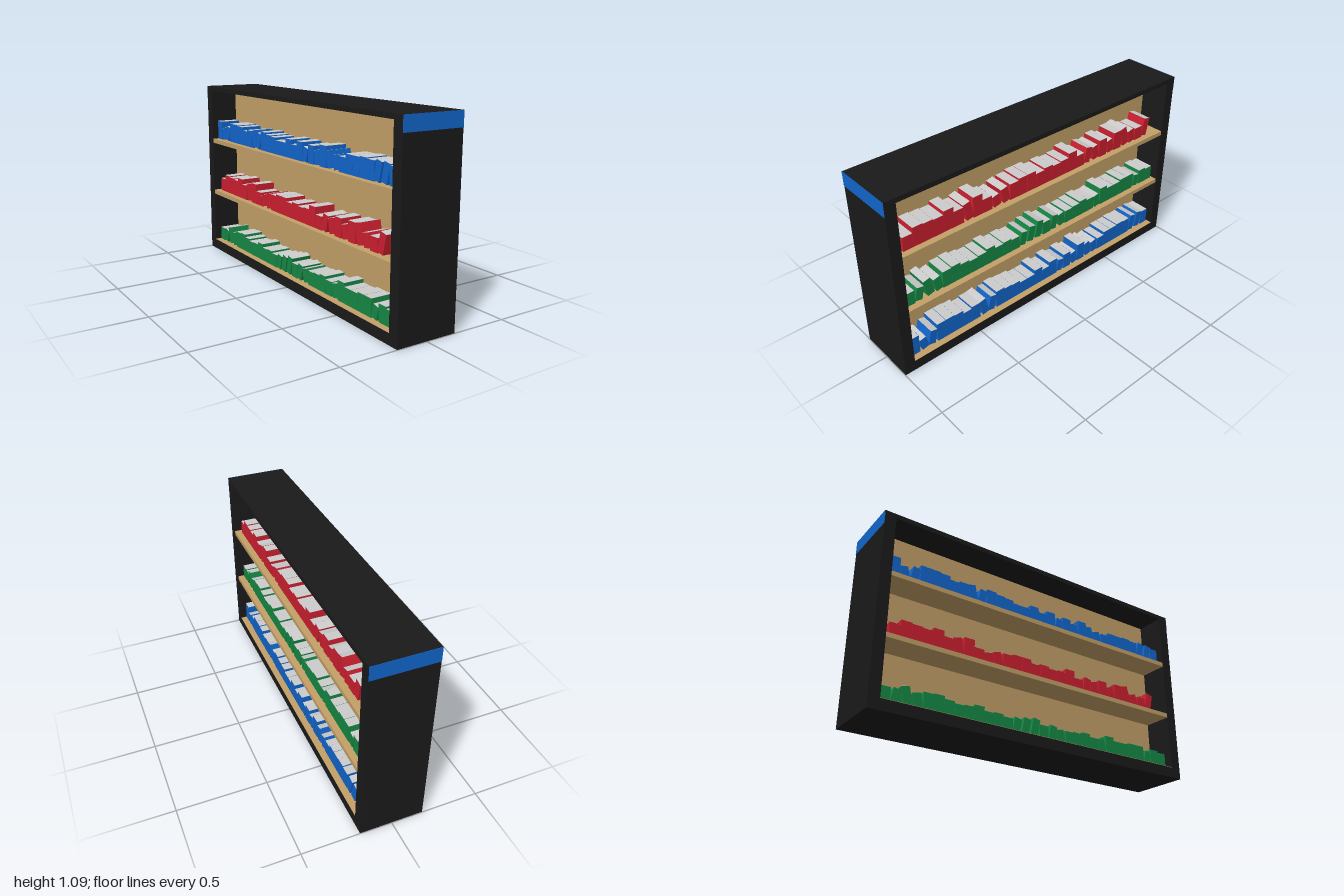
import * as THREE from 'three';

const mat = (color) => new THREE.MeshStandardMaterial({ color });
const black = mat(0x1a1a1a), wood = mat(0xc4a068), pages = mat(0xcccccc);
const red = mat(0xcc1f2f), green = mat(0x158844), blue = mat(0x1166cc);

const W = 0.356, H = 1.085, END = 0.065, FLOOR = 0.063;
const INNER = 2 - 2 * END;

// Book heights in thousandths along -z; '<' leans toward +z, '>' toward -z
const rows = {
  red: {
    cover: red, from: 0.905, to: -0.85,
    books: '80 110 105 100 120 90 <110 120 80 <75 <95 95 105 105 85 95 85 90 115 75 '
      + '>100 <90 105 <85 110 <120 <85 75 >115',
  },
  green: {
    cover: green, from: 0.928, to: -0.922,
    books: '80 >85 <110 <90 100 105 90 80 85 100 80 85 75 >90 >100 >110 80 >95 <85 '
      + '80 85 95 80 <85 110 90 90 100 100 >80 95 85',
  },
  blue: {
    cover: blue, from: 0.932, to: -0.925,
    books: '115 <80 >95 115 115 110 90 100 <110 >100 110 100 95 80 80 105 80 105 '
      + '>85 100 <85 115 <100 <85 80 100 100 105 100 >110 >110 95',
  },
};

function box(parent, name, material, size, pos) {
  const mesh = new THREE.Mesh(new THREE.BoxGeometry(...size), material);
  mesh.name = name;
  mesh.position.set(...pos);
  parent.add(mesh);
  return mesh;
}

function bookRow(name, y) {
  const { cover, from, to, books } = rows[name];
  const row = new THREE.Group();
  row.name = name + 'Books';
  const list = books.split(' ');
  const pitch = (from - to) / list.length;
  list.forEach((entry, i) => {
    const angle = entry[0] === '<' ? 0.22 : entry[0] === '>' ? -0.22 : 0;
    const top = Number(entry.replace(/[<>]/, '')) / 1000;
    const thick = angle ? pitch * 0.75 : pitch * 0.99;
    const rise = (thick / 2) * Math.sin(Math.abs(angle));
    const height = (top - 2 * rise) / Math.cos(angle);
    // Leaning books rest on a corner, with their middle kept in the slot
    const z = from - (i + 0.5) * pitch;
    const centre = [0.078, y + rise + Math.cos(angle) * height / 2, z];
    const book = box(row, 'book', cover, [0.125, height, thick], centre);
    book.rotation.x = angle;
    // Page edges along the top
    box(book, 'pages', pages, [0.123, 0.002, thick * 0.96], [0, height / 2, 0]);
  });
  return row;
}

export function createModel() {
  const model = new THREE.Group();
  model.name = 'doubleSidedBookcase';

  // Black frame
  box(model, 'topPanel', black, [W, 0.027, INNER], [0, H - 0.0135, 0]);
  box(model, 'basePanel', black, [W, FLOOR - 0.002, INNER], [0, (FLOOR - 0.002) / 2, 0]);
  for (const s of [1, -1]) {
    box(model, 'endPanel', black, [W, H, END - 0.002], [0, H / 2, s * (0.998 - (END - 0.002) / 2)]);
    box(model, 'endSign', blue, [W, 0.08, 0.002], [0, H - 0.04, s * 0.999]);
  }

  // Wooden divider, floor and shelves
  box(model, 'divider', wood, [0.016, H - 0.027 - FLOOR, INNER], [0, (H - 0.027 + FLOOR) / 2, 0]);
  box(model, 'floorBoard', wood, [W, 0.002, INNER], [0, FLOOR - 0.001, 0]);
  const levels = [0.745, 0.403, FLOOR];
  for (const y of levels.slice(0, 2)) {
    box(model, 'shelf', wood, [W - 0.002, 0.026, INNER], [0, y - 0.013, 0]);
  }

  // Books on both faces, top shelf to bottom shelf
  [['red', 'green', 'blue'], ['blue', 'red', 'green']].forEach((order, side) => {
    const group = new THREE.Group();
    group.name = side ? 'rightSideBooks' : 'leftSideBooks';
    order.forEach((name, i) => group.add(bookRow(name, levels[i])));
    group.rotation.y = side * Math.PI;
    model.add(group);
  });

  return model;
}
